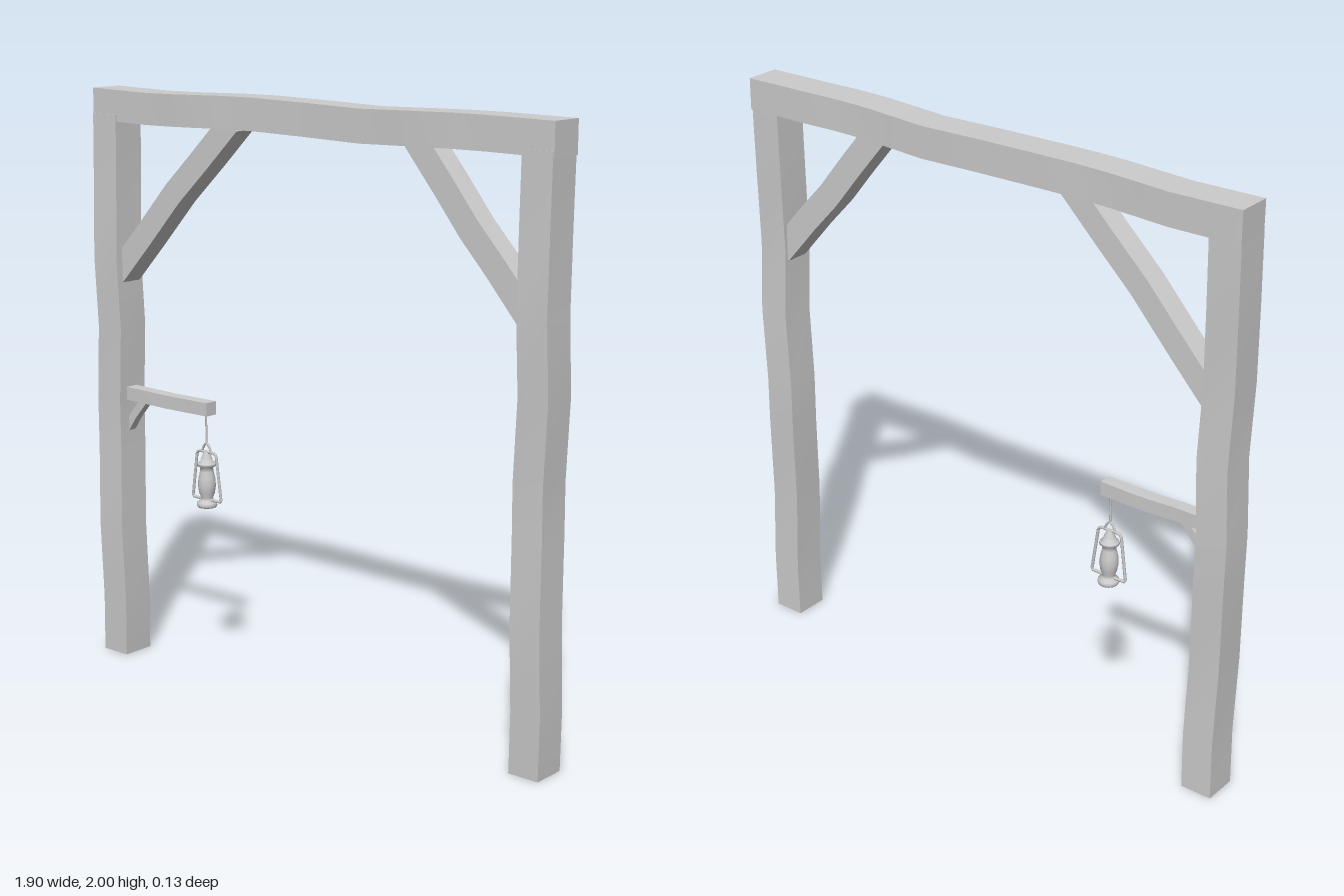
import * as THREE from 'three';

const material = new THREE.MeshStandardMaterial({ color: 0xcccccc, side: THREE.DoubleSide });

function add(parent, name, geometry) {
  const mesh = new THREE.Mesh(geometry, material);
  mesh.name = name;
  parent.add(mesh);
  return mesh;
}

// Hand-hewn timber: a box whose cross-sections follow a list of [x, y, z] centres.
// Width lies in the x-y plane, depth along z; long edges stay sharp.
function timber(points, width, depth, squareEnds = false) {
  const path = points.map((p) => new THREE.Vector3(...p));
  const n = path.length - 1;
  const geometry = new THREE.BoxGeometry(width, n, depth, 1, n, 1);
  const pos = geometry.attributes.position;
  const whole = path[n].clone().sub(path[0]).normalize();
  for (let i = 0; i < pos.count; i++) {
    const k = Math.round(pos.getY(i) + n / 2);
    const dir = squareEnds ? whole
      : path[Math.min(k + 1, n)].clone().sub(path[Math.max(k - 1, 0)]).normalize();
    const w = pos.getX(i);
    pos.setXYZ(i, path[k].x + dir.y * w, path[k].y - dir.x * w, path[k].z + pos.getZ(i));
  }
  geometry.computeVertexNormals();
  return geometry;
}

// Round wire through straight points
function wire(points, radius, closed = false) {
  const path = new THREE.CurvePath();
  const v = points.map((p) => new THREE.Vector3(...p));
  for (let i = 0; i < v.length - 1; i++) path.add(new THREE.LineCurve3(v[i], v[i + 1]));
  if (closed) path.add(new THREE.LineCurve3(v[v.length - 1], v[0]));
  return new THREE.TubeGeometry(path, 24, radius, 6, closed);
}

function createLantern() {
  const lantern = new THREE.Group();
  lantern.name = 'lantern';

  // Fuel tank, glass and vented cap as one turned profile
  const profile = [
    [0, 0], [0.032, 0], [0.035, 0.006], [0.034, 0.016], [0.022, 0.024],
    [0.021, 0.034], [0.027, 0.05], [0.031, 0.075], [0.029, 0.1], [0.023, 0.125],
    [0.022, 0.138], [0.033, 0.146], [0.031, 0.153], [0.02, 0.162], [0.018, 0.172], [0, 0.175],
  ].map(([r, y]) => new THREE.Vector2(r, y));
  add(lantern, 'lanternBody', new THREE.LatheGeometry(profile, 20));

  // Side frame tubes
  for (const s of [-1, 1]) {
    add(lantern, 'lanternFrame', wire([
      [s * 0.02, 0.025, 0], [s * 0.067, 0.026, 0], [s * 0.064, 0.04, 0],
      [s * 0.044, 0.185, 0], [s * 0.036, 0.192, 0], [s * 0.015, 0.192, 0], [0, 0.192, 0],
    ], 0.005));
  }
  add(lantern, 'lanternTopCap', new THREE.CylinderGeometry(0.01, 0.02, 0.024, 16)).position.y = 0.18;

  // Hanging loop
  const loop = new THREE.CatmullRomCurve3([
    [-0.02, 0.19, 0], [-0.014, 0.208, 0], [0, 0.222, 0], [0.014, 0.208, 0], [0.02, 0.19, 0],
  ].map((p) => new THREE.Vector3(...p)));
  add(lantern, 'lanternHandle', new THREE.TubeGeometry(loop, 20, 0.004, 6));

  // Hook wire up to the bracket
  add(lantern, 'hangingWire', new THREE.CylinderGeometry(0.0035, 0.0035, 0.11, 6)).position.y = 0.273;
  return lantern;
}

export function createModel() {
  const model = new THREE.Group();
  model.name = 'timberGate';

  // Two matching posts with a gentle wobble: [height, x shift, z shift]
  const wobble = [
    [0, 0, -0.002], [0.2, 0.005, 0.001], [0.47, 0, 0.008], [0.75, -0.006, -0.002],
    [0.92, -0.008, -0.003], [1.18, 0.004, -0.002], [1.42, 0, 0.008], [1.68, -0.004, -0.002],
    [1.91, 0, -0.002],
  ];
  for (const [name, x] of [['rightPost', -0.888], ['leftPost', 0.886]]) {
    add(model, name, timber(wobble.map(([y, dx, dz]) => [x + dx, y, dz]), 0.109, 0.118, true));
  }

  // Cross beam
  add(model, 'crossBeam', timber([
    [-0.944, 1.943, -0.006], [-0.7, 1.938, -0.005], [-0.58, 1.94, 0.001], [-0.47, 1.943, 0.004],
    [-0.36, 1.946, 0], [-0.22, 1.947, -0.006], [0, 1.943, -0.006], [0.22, 1.937, -0.006],
    [0.36, 1.941, 0], [0.47, 1.944, 0.004], [0.58, 1.946, 0.001], [0.7, 1.946, -0.005],
    [0.942, 1.943, -0.006],
  ], 0.106, 0.118, true));

  // Corner braces
  add(model, 'rightBrace', timber([
    [-0.862, 1.367, 0], [-0.73, 1.508, 0], [-0.59, 1.662, 0], [-0.46, 1.785, 0], [-0.325, 1.917, 0],
  ], 0.082, 0.08));
  add(model, 'leftBrace', timber([
    [0.86, 1.407, 0], [0.735, 1.55, 0], [0.635, 1.657, 0], [0.54, 1.775, 0], [0.425, 1.912, 0],
  ], 0.086, 0.08));

  // Lantern bracket on the right post
  add(model, 'bracketArm', timber([
    [-0.85, 0.946, 0], [-0.74, 0.945, 0.003], [-0.65, 0.942, 0], [-0.56, 0.942, -0.002], [-0.46, 0.943, 0],
  ], 0.046, 0.046, true));
  add(model, 'bracketStrut', timber([
    [-0.856, 0.815, 0], [-0.82, 0.868, 0], [-0.762, 0.935, 0],
  ], 0.028, 0.03));

  const lantern = createLantern();
  lantern.position.set(-0.484, 0.598, 0);
  model.add(lantern);

  return model;
}
